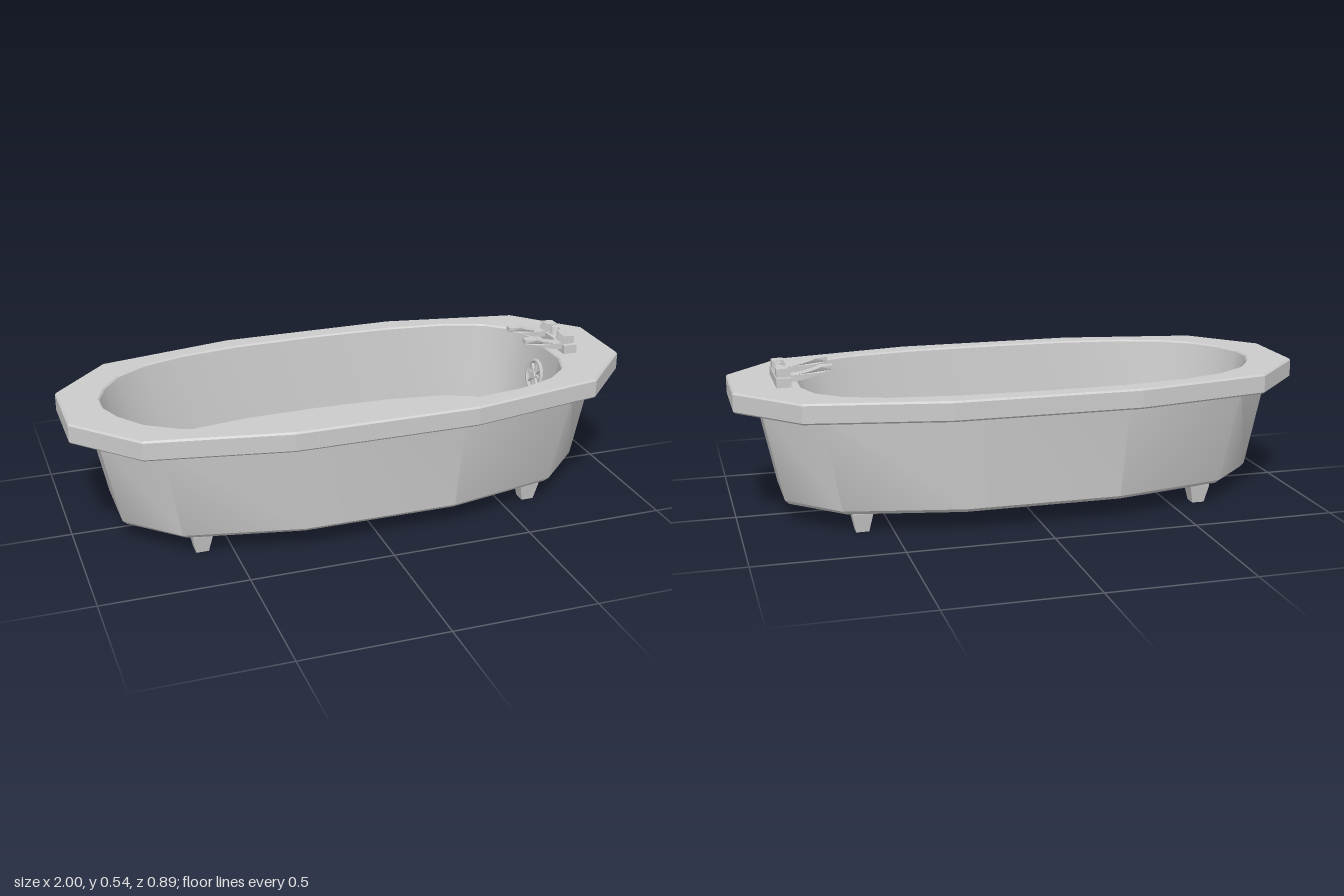
import * as THREE from 'three';
import { toCreasedNormals } from 'three/addons/utils/BufferGeometryUtils.js';

const material = new THREE.MeshStandardMaterial({ color: 0xcccccc, side: THREE.DoubleSide });

function add(parent, name, geometry, x = 0, y = 0, z = 0) {
  const mesh = new THREE.Mesh(geometry, material);
  mesh.name = name;
  mesh.position.set(x, y, z);
  parent.add(mesh);
  return mesh;
}

// Mirrors three corner points into a closed twelve-sided outline
function twelveSided(q) {
  const back = [...q].reverse();
  return [
    ...q,
    ...back.map(([x, z]) => [-x, z]),
    ...q.map(([x, z]) => [-x, -z]),
    ...back.map(([x, z]) => [x, -z]),
  ];
}

// Skins a stack of outlines, each { pts, y }
function loft(rings, crease = 0.6) {
  const n = rings[0].pts.length;
  const pos = [], idx = [];
  rings.forEach(({ pts, y }) => pts.forEach(([x, z]) => pos.push(x, y, z)));
  for (let i = 0; i < rings.length - 1; i++) {
    for (let j = 0; j < n; j++) {
      const a = i * n + j, b = i * n + (j + 1) % n;
      idx.push(a, b, a + n, b, b + n, a + n);
    }
  }
  const g = new THREE.BufferGeometry();
  g.setAttribute('position', new THREE.Float32BufferAttribute(pos, 3));
  g.setIndex(idx);
  return toCreasedNormals(g, crease);
}

// Bowl opening: half outline from the tap end to the sloping end, mirrored in z
const half = [
  [0.77, 0.12], [0.735, 0.215], [0.655, 0.285], [0.52, 0.335], [0.3, 0.365], [0, 0.375],
  [-0.3, 0.368], [-0.51, 0.338], [-0.66, 0.29], [-0.765, 0.22], [-0.83, 0.13],
];
const opening = [...half, [-0.865, 0.04], [-0.865, -0.04], ...[...half].reverse().map(([x, z]) => [x, -z])];

function bowlRing(t) { // t = 0 at the floor, 1 at the rim
  const sx = 0.93 + 0.07 * t, sz = 0.945 + 0.055 * t;
  return opening.map(([x, z]) => [(x + 0.05) * sx - 0.05 + 0.006 * (1 - t), z * sz]);
}

function buildTub(group) {
  // Broad faceted rim with the bowl cut out
  const bevel = 0.006;
  const toV = (pts) => pts.map(([x, z]) => new THREE.Vector2(x, z));
  const shape = new THREE.Shape(toV(twelveSided([[1, 0.14], [0.8, 0.355], [0.32, 0.445]])));
  shape.holes.push(new THREE.Path(toV(opening)));
  const rim = new THREE.ExtrudeGeometry(shape, {
    depth: 0.07 - 2 * bevel, bevelSize: bevel, bevelThickness: bevel, bevelOffset: -bevel, bevelSegments: 1,
  });
  rim.rotateX(-Math.PI / 2);
  add(group, 'rim', rim, 0, 0.405 + bevel, 0);

  // Outer skirt, lower lip, hollow inside and underside of the floor
  const side = (t, inset = 0) => twelveSided([
    [0.84 + 0.07 * t - inset, 0.12 + 0.01 * t],
    [0.67 + 0.06 * t - inset, 0.29 + 0.03 * t - inset * 0.6],
    [0.27 + 0.02 * t, 0.375 + 0.03 * t - inset],
  ]);
  add(group, 'skirt', loft([
    { pts: side(1), y: 0.41 },
    { pts: side(0.03), y: 0.085 },
    { pts: side(0, 0.012), y: 0.072 },
    { pts: side(0, 0.024), y: 0.072 },
    { pts: side(0.33, 0.024), y: 0.185 },
    { pts: side(0, 0).map(() => [0, 0]), y: 0.185 },
  ]));

  // Bowl: floor and sloping walls
  add(group, 'bowl', loft([
    { pts: opening.map(() => [0, 0]), y: 0.19 },
    { pts: bowlRing(0), y: 0.19 },
    { pts: bowlRing(1), y: 0.47 },
  ]));
}

function buildDrains(group) {
  // Floor drain
  const ring = new THREE.TorusGeometry(0.045, 0.006, 6, 24).rotateX(Math.PI / 2);
  add(group, 'drainRing', ring, 0.52, 0.191, -0.015);
  add(group, 'drainPlug', new THREE.CylinderGeometry(0.036, 0.042, 0.008, 24), 0.52, 0.192, -0.015);

  // Spoked overflow vent on the end wall
  const vent = new THREE.Group();
  vent.name = 'overflowVent';
  vent.position.set(0.745, 0.36, -0.01);
  vent.lookAt(-0.255, 0.54, -0.01);
  add(vent, 'ventRing', new THREE.TorusGeometry(0.054, 0.008, 6, 20));
  add(vent, 'ventHub', new THREE.CylinderGeometry(0.014, 0.018, 0.018, 12).rotateX(Math.PI / 2));
  for (let i = 0; i < 8; i++) {
    const spoke = new THREE.BoxGeometry(0.044, 0.009, 0.008).translate(0.031, 0, 0);
    add(vent, 'ventSpoke', spoke).rotation.z = i * Math.PI / 4;
  }
  group.add(vent);
}

function buildTaps(group) {
  const taps = new THREE.Group();
  taps.name = 'taps';
  taps.position.z = -0.008;
  add(taps, 'tapBase', new THREE.BoxGeometry(0.05, 0.034, 0.215), 0.828, 0.49, 0);

  // Side profile of a spout, from the raised tip back to the block on the base
  const profile = new THREE.Shape();
  profile.moveTo(0.66, 0.522);
  profile.lineTo(0.66, 0.537);
  profile.lineTo(0.7, 0.535);
  profile.quadraticCurveTo(0.75, 0.515, 0.8, 0.512);
  profile.lineTo(0.81, 0.537);
  profile.lineTo(0.85, 0.535);
  profile.lineTo(0.85, 0.5);
  profile.lineTo(0.8, 0.49);
  profile.quadraticCurveTo(0.75, 0.492, 0.7, 0.516);
  profile.closePath();

  for (const s of [-1, 1]) {
    const g = new THREE.ExtrudeGeometry(profile, { depth: 0.044, bevelEnabled: false, curveSegments: 6 });
    g.translate(0, 0, -0.022);
    // Narrow the tip so that it reads as rounded from above
    const p = g.attributes.position;
    for (let i = 0; i < p.count; i++) if (p.getX(i) < 0.67) p.setZ(i, p.getZ(i) * 0.55);
    g.computeVertexNormals();
    add(taps, 'spout', g, 0, 0, s * 0.068);
    add(taps, 'tapKnob', new THREE.CylinderGeometry(0.014, 0.02, 0.03, 14), 0.832, 0.519, s * 0.026);
  }
  group.add(taps);
}

function buildFeet(group) {
  // Tapered square feet
  for (const sx of [-1, 1]) {
    for (const sz of [-1, 1]) {
      const g = new THREE.CylinderGeometry(0.05, 0.031, 0.065, 4, 1).rotateY(Math.PI / 4).toNonIndexed();
      g.computeVertexNormals();
      add(group, 'foot', g, sx * 0.603, 0.0325, sz * 0.245);
      add(group, 'footBlock', new THREE.BoxGeometry(0.07, 0.125, 0.07), sx * 0.603, 0.1275, sz * 0.245);
    }
  }
}

export function createModel() {
  const group = new THREE.Group();
  group.name = 'bathtub';
  buildTub(group);
  buildDrains(group);
  buildTaps(group);
  buildFeet(group);
  return group;
}
